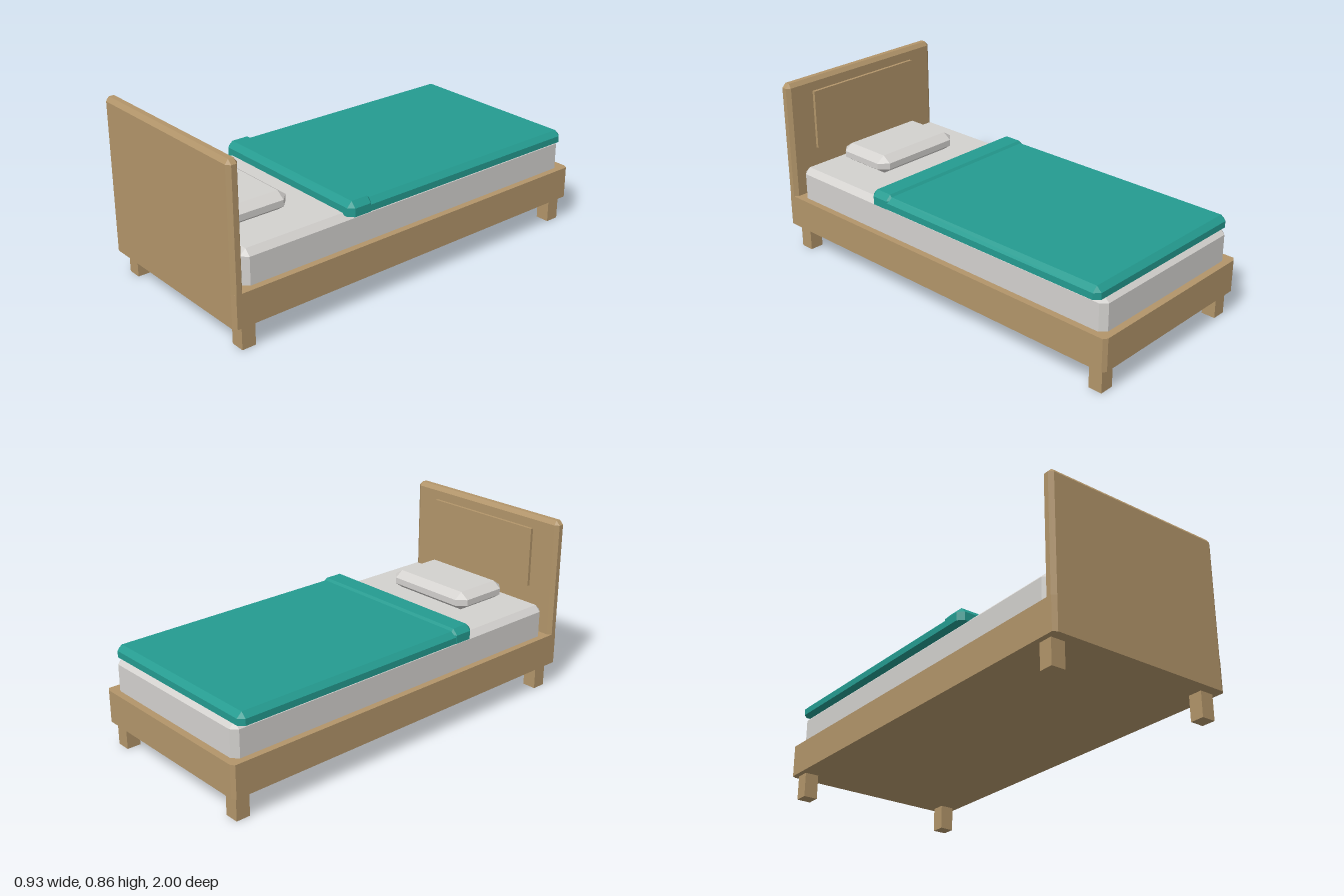
import * as THREE from 'three';
import { ConvexGeometry } from 'three/addons/geometries/ConvexGeometry.js';

const wood = new THREE.MeshStandardMaterial({ name: 'wood', color: 0xb2956a });
const linen = new THREE.MeshStandardMaterial({ name: 'linen', color: 0xd3d1ce });
const teal = new THREE.MeshStandardMaterial({ name: 'teal', color: 0x249b90 });

// Box given by its ranges, with upright edges chamfered by bx, bz;
// the top and bottom rims are chamfered by by when asked for.
function chamferBox([x0, x1], [y0, y1], [z0, z1], [bx, by, bz], top = true, bottom = false) {
  const points = [];
  const add = (x, y, z) => points.push(new THREE.Vector3(x, y, z));
  for (const [x, sx] of [[x0, -1], [x1, 1]])
    for (const [y, sy, cut] of [[y0, -1, bottom], [y1, 1, top]])
      for (const [z, sz] of [[z0, -1], [z1, 1]]) {
        const yIn = cut ? y - sy * by : y;
        add(x, yIn, z - sz * bz);
        add(x - sx * bx, yIn, z);
        if (cut) add(x - sx * bx, y, z - sz * bz);
      }
  return new ConvexGeometry(points);
}

export function createModel() {
  const bed = new THREE.Group();
  bed.name = 'bed';
  const part = (name, geometry, material) => {
    const mesh = new THREE.Mesh(geometry, material);
    mesh.name = name;
    bed.add(mesh);
    return mesh;
  };

  // Wooden base and headboard
  const width = [-0.467, 0.467];
  part('frame', chamferBox(width, [0.12, 0.277], [-1, 1], [0.02, 0, 0.013], false), wood);
  part('headboard', chamferBox(width, [0.277, 0.86], [0.945, 1], [0.02, 0.02, 0.015]), wood);
  part('headboardPanel', new THREE.BoxGeometry(0.64, 0.295, 0.02), wood)
    .position.set(0, 0.647, 0.94);

  // Four square legs
  for (const x of [-0.407, 0.407])
    for (const z of [-0.938, 0.917])
      part('leg', new THREE.BoxGeometry(0.069, 0.12, 0.068), wood).position.set(x, 0.06, z);

  // Mattress and pillow
  part('mattress', chamferBox([-0.435, 0.435], [0.277, 0.435], [-0.966, 0.922],
    [0.028, 0.028, 0.028]), linen);
  part('pillow', chamferBox([-0.246, 0.246], [0.435, 0.525], [0.537, 0.853],
    [0.043, 0.03, 0.042], true, true), linen);

  // Blanket with its folded-over end
  part('blanket', chamferBox([-0.46, 0.46], [0.427, 0.482], [-0.948, 0.37],
    [0.025, 0.024, 0.025]), teal);
  part('blanketFold', chamferBox([-0.461, 0.461], [0.426, 0.493], [0.255, 0.39],
    [0.025, 0.027, 0.025]), teal);

  return bed;
}
